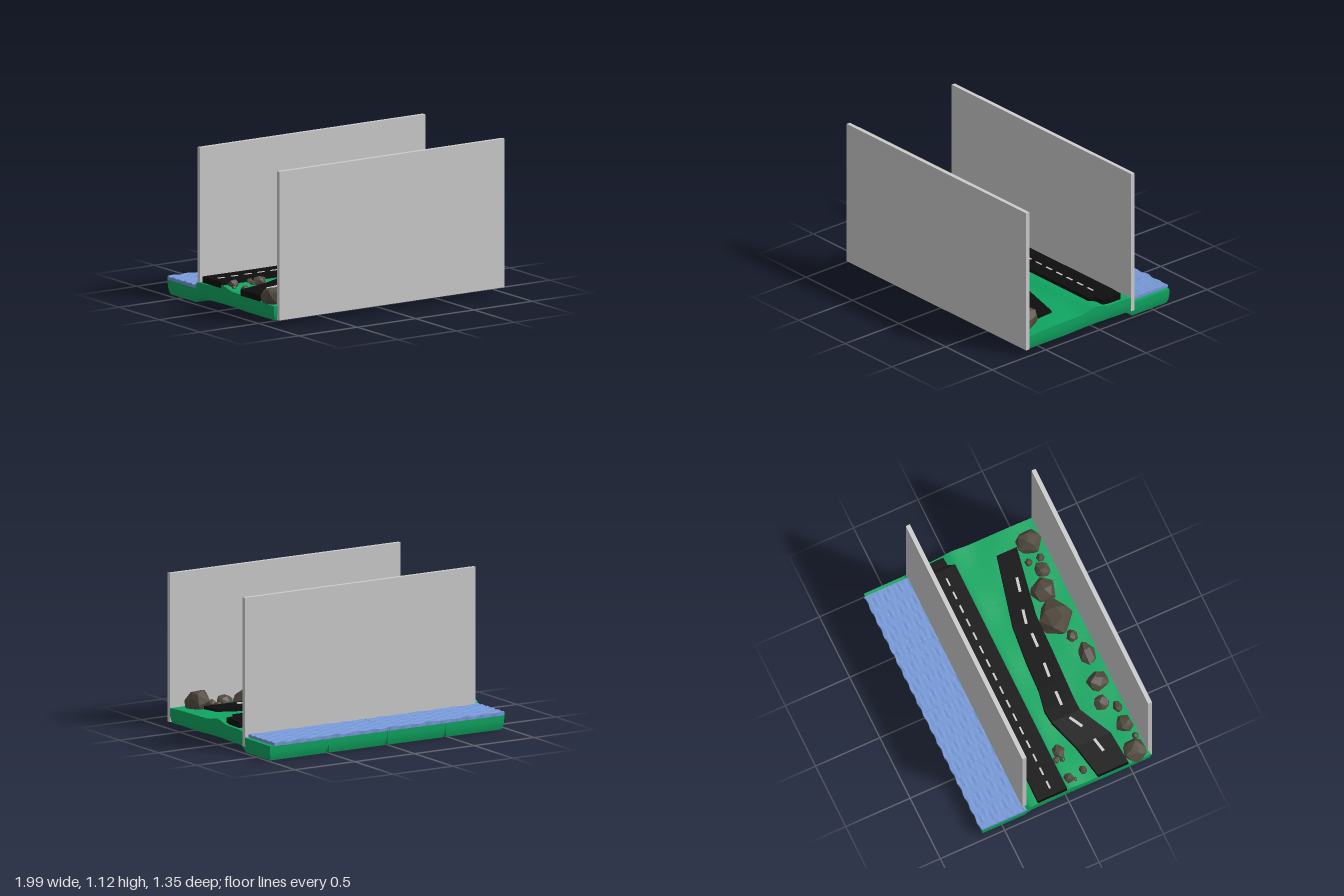
import * as THREE from 'three';
import { ConvexGeometry } from 'three/addons/geometries/ConvexGeometry.js';

const material = (color, extra = {}) => new THREE.MeshStandardMaterial({ color, ...extra });
const grey = material(0xcccccc);
const grass = material(0x0fa661);
const waterBlue = material(0x7799d8, { flatShading: true });
const asphalt = material(0x0e0e0e, { flatShading: true });
const stone = material(0x524b40, { flatShading: true });

// Small seeded generator
let seed = 7;
function random() {
  seed = (seed * 16807) % 2147483647;
  return seed / 2147483647;
}

// Linear interpolation through [position, value] pairs, given in rising order
function along(pairs, t) {
  for (let i = 1; i < pairs.length; i++) {
    const [a, va] = pairs[i - 1], [b, vb] = pairs[i];
    if (t <= b) return va + (vb - va) * Math.max(0, (t - a) / (b - a));
  }
  return pairs[pairs.length - 1][1];
}

// Box whose vertices are moved by rule(u, v, w), each from 0 to 1 over x, y, z
function warpedBox(nx, ny, nz, rule) {
  const geometry = new THREE.BoxGeometry(1, 1, 1, nx, ny, nz);
  const p = geometry.attributes.position;
  for (let i = 0; i < p.count; i++) {
    p.setXYZ(i, ...rule(p.getX(i) + 0.5, p.getY(i) + 0.5, p.getZ(i) + 0.5));
  }
  geometry.computeVertexNormals();
  return geometry;
}

function add(group, name, geometry, mat) {
  const mesh = new THREE.Mesh(geometry, mat);
  mesh.name = name;
  group.add(mesh);
  return mesh;
}

// Land profile: a bank stepping down to the river bed at the back
const landTop = [[-0.66, 0.112], [-0.335, 0.112], [-0.3, 0.155], [-0.2, 0.16], [0.3, 0.163], [0.5, 0.158], [0.65, 0.15]];
const landBottom = [[-0.66, 0.005], [-0.33, 0.005], [-0.28, 0.045], [0, 0.052], [0.1, 0.052], [0.3, 0.046], [0.65, 0.046]];

function groundHeight(x, z) {
  const ridge = 0.025 * Math.exp(-(((z - 0.02) / 0.08) ** 2));
  const bumps = z > -0.28 ? 0.004 * Math.sin(x * 13) * Math.sin(z * 15) : 0;
  return along(landTop, z) + ridge + bumps;
}

function groundTile(x0, x1) {
  return warpedBox(12, 4, 44, (u, v, w) => {
    const inset = 0.015 * (1 - v) ** 3; // rounded lower edge
    const x = x0 + inset + (x1 - x0 - 2 * inset) * u;
    const zFlat = -0.66 + 1.31 * w;
    const z = -0.66 + inset + (1.31 - 2 * inset) * w;
    const low = along(landBottom, zFlat);
    return [x, low + (groundHeight(x, zFlat) - low) * v, z];
  });
}

function waterTile(x0, x1) {
  return warpedBox(16, 1, 18, (u, v, w) => {
    const x = x0 + (x1 - x0) * u, z = -0.668 + 0.36 * w;
    const ripple = 0.003 * Math.sin(x * 41 + z * 90) + 0.002 * Math.sin(z * 160 - x * 23);
    const ragged = w === 0 ? 0.005 * Math.sin(x * 57) : 0;
    return [x, v ? 0.134 + ripple : 0.11, z + ragged];
  });
}

// Road from stations [x, back edge z, front edge z, top y]
function road(stations) {
  const n = stations.length - 1;
  return warpedBox(n, 1, 2, (u, v, w) => {
    const [x, back, front, y] = stations[Math.round(u * n)];
    return [x, v ? y : y - 0.045, back + (front - back) * w];
  });
}

// Faceted boulder: hull of jittered points on an ellipsoid
function boulder(rx, ry, rz) {
  const points = [];
  const n = 22, turn = random() * 6;
  for (let i = 0; i < n; i++) {
    const y = 1 - (2 * (i + 0.5)) / n;
    const r = Math.sqrt(1 - y * y), a = turn + i * 2.4 + random() * 0.7;
    const k = 0.88 + random() * 0.2;
    points.push(new THREE.Vector3(rx * k * r * Math.cos(a), ry * k * y, rz * k * r * Math.sin(a)));
  }
  return new ConvexGeometry(points);
}

export function createModel() {
  const model = new THREE.Group();
  model.name = 'riversideRoads';

  // Four land tiles, each with its stretch of river
  for (let i = 0; i < 4; i++) {
    const x0 = -0.97 + 0.49 * i;
    add(model, 'groundTile', groundTile(x0, x0 + 0.489), grass);
    const w0 = -0.97 + 0.4825 * i;
    add(model, 'riverTile', waterTile(w0, w0 + 0.481), waterBlue);
  }

  // Upright backdrop panels
  for (const z of [0.659, -0.318]) {
    add(model, 'backdropPanel', new THREE.BoxGeometry(1.93, 1.07, 0.031), grey).position.set(0.025, 0.585, z);
  }

  // Straight road, narrowed at its far end
  add(model, 'straightRoad', road([
    [-0.97, -0.228, 0, 0.21], [-0.5, -0.222, 0, 0.21], [0, -0.225, 0, 0.21], [0.88, -0.225, 0, 0.21],
    [0.9, -0.225, -0.05, 0.208], [0.965, -0.225, -0.055, 0.206],
  ]), asphalt);
  for (let i = 0; i < 16; i++) {
    const dash = add(model, 'straightRoadDash', new THREE.BoxGeometry(0.06, 0.006, 0.013), grey);
    dash.position.set(-0.89 + 0.1115 * i, 0.211, -0.11 + 0.0006 * i);
  }

  // Winding road
  const bend = [
    [-0.97, 0.24, 0.475, 0.2], [-0.72, 0.19, 0.455, 0.208], [-0.48, 0.11, 0.33, 0.224], [-0.38, 0.1, 0.328, 0.225],
    [-0.22, 0.13, 0.335, 0.222], [0, 0.14, 0.345, 0.215], [0.3, 0.17, 0.355, 0.205], [0.55, 0.23, 0.4, 0.193],
    [0.825, 0.295, 0.452, 0.182],
  ];
  add(model, 'windingRoad', road(bend), asphalt);
  const bendTop = bend.map(s => [s[0], s[3]]);
  const dashes = [[-0.77, 0.34, 0.2], [-0.55, 0.265, 0.5], [-0.34, 0.23, -0.05], [-0.11, 0.245, -0.1],
    [0.13, 0.265, -0.05], [0.32, 0.275, -0.22], [0.56, 0.34, -0.22]];
  for (const [x, z, yaw] of dashes) {
    const dash = add(model, 'windingRoadDash', new THREE.BoxGeometry(0.11, 0.01, 0.02), grey);
    dash.position.set(x, along(bendTop, x) + 0.002, z);
    dash.rotation.y = yaw;
  }

  // Boulders: x, z, radius in x, radius in z, centre height, radius in y
  const rocks = [
    [0.23, 0.47, 0.135, 0.125, 0.19, 0.14], [0.46, 0.485, 0.1, 0.1, 0.15, 0.125], [0.82, 0.54, 0.095, 0.1, 0.19, 0.1],
    [-0.91, 0.555, 0.09, 0.09, 0.2, 0.07], [-0.69, 0.575, 0.065, 0.065, 0.175, 0.06], [-0.55, 0.59, 0.045, 0.035, 0.165, 0.04],
    [-0.48, 0.495, 0.055, 0.06, 0.175, 0.055], [-0.32, 0.54, 0.075, 0.085, 0.175, 0.075], [-0.1, 0.56, 0.1, 0.06, 0.17, 0.06],
    [0.06, 0.525, 0.05, 0.045, 0.17, 0.045], [0.6, 0.545, 0.065, 0.055, 0.17, 0.05], [0.69, 0.48, 0.03, 0.03, 0.165, 0.03],
    [0.69, 0.57, 0.032, 0.03, 0.165, 0.03], [-0.8, 0.61, 0.027, 0.025, 0.16, 0.025], [-0.9, 0.045, 0.038, 0.038, 0.19, 0.04],
    [-0.92, 0.085, 0.018, 0.018, 0.175, 0.02], [-0.88, 0.165, 0.032, 0.028, 0.175, 0.03], [-0.69, 0.065, 0.058, 0.045, 0.19, 0.045],
    [-0.74, 0.02, 0.025, 0.025, 0.19, 0.025], [-0.75, 0.065, 0.022, 0.022, 0.185, 0.022],
  ];
  for (const [x, z, rx, rz, y, ry] of rocks) {
    add(model, 'boulder', boulder(rx, ry, rz), stone).position.set(x, y, z);
  }

  return model;
}
